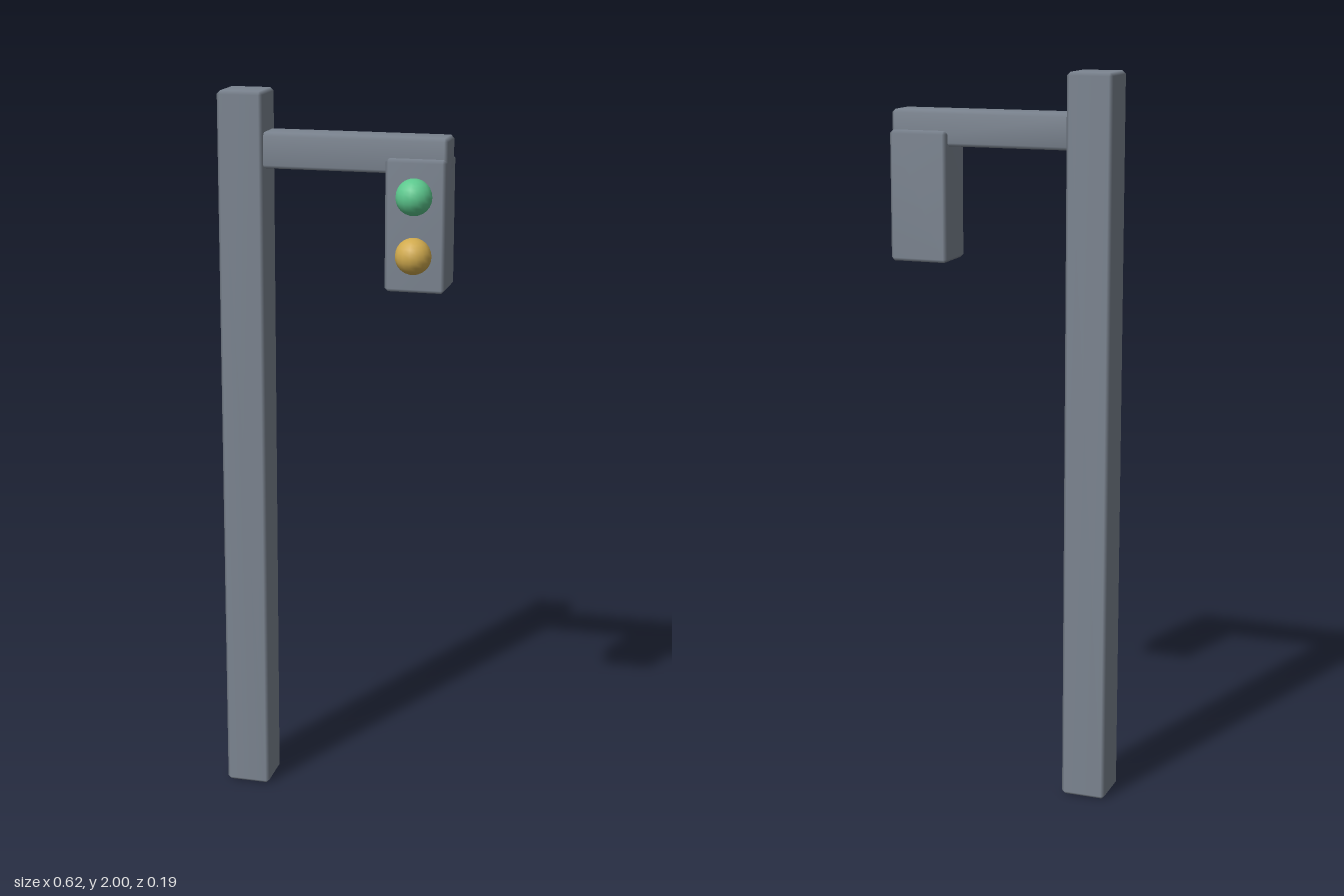
import * as THREE from 'three';
import { mergeVertices } from 'three/addons/utils/BufferGeometryUtils.js';
import { ConvexGeometry } from 'three/addons/geometries/ConvexGeometry.js';

// Box between two corners with chamfered edges and soft shading
function chamferBox(min, max, bevel) {
  const centre = min.map((v, i) => (v + max[i]) / 2);
  const half = min.map((v, i) => (max[i] - v) / 2);
  const points = [];
  for (const sx of [-1, 1]) for (const sy of [-1, 1]) for (const sz of [-1, 1]) {
    const signs = [sx, sy, sz];
    for (let axis = 0; axis < 3; axis++) {
      points.push(new THREE.Vector3(...signs.map((s, i) =>
        centre[i] + s * (half[i] - (i === axis ? 0 : bevel)))));
    }
  }
  let geometry = new ConvexGeometry(points);
  geometry.deleteAttribute('normal');
  geometry = mergeVertices(geometry, 1e-4);
  geometry.computeVertexNormals();
  return geometry;
}

export function createModel() {
  const group = new THREE.Group();
  group.name = 'trafficSignal';

  const material = (name, color) => {
    const m = new THREE.MeshStandardMaterial({ color });
    m.name = name;
    return m;
  };
  const grey = material('greyMetal', 0x7c8591);
  const green = material('greenLight', 0x5cc78d);
  const amber = material('amberLight', 0xd0aa4e);

  const add = (name, geometry, mat) => {
    const mesh = new THREE.Mesh(geometry, mat);
    mesh.name = name;
    group.add(mesh);
    return mesh;
  };

  // Upright, arm and hanging signal housing
  add('post', chamferBox([-0.312, 0, -0.092], [-0.187, 2, 0.034], 0.009), grey);
  add('arm', chamferBox([-0.2, 1.797, -0.079], [0.31, 1.892, 0.021], 0.009), grey);
  add('signalHousing', chamferBox([0.148, 1.486, -0.097], [0.31, 1.838, 0.039], 0.009), grey);

  // Round lamps, half sunk in the housing front
  const lamp = new THREE.SphereGeometry(0.049, 16, 12);
  add('greenLamp', lamp, green).position.set(0.228, 1.742, 0.045);
  add('amberLamp', lamp, amber).position.set(0.228, 1.586, 0.045);

  return group;
}
